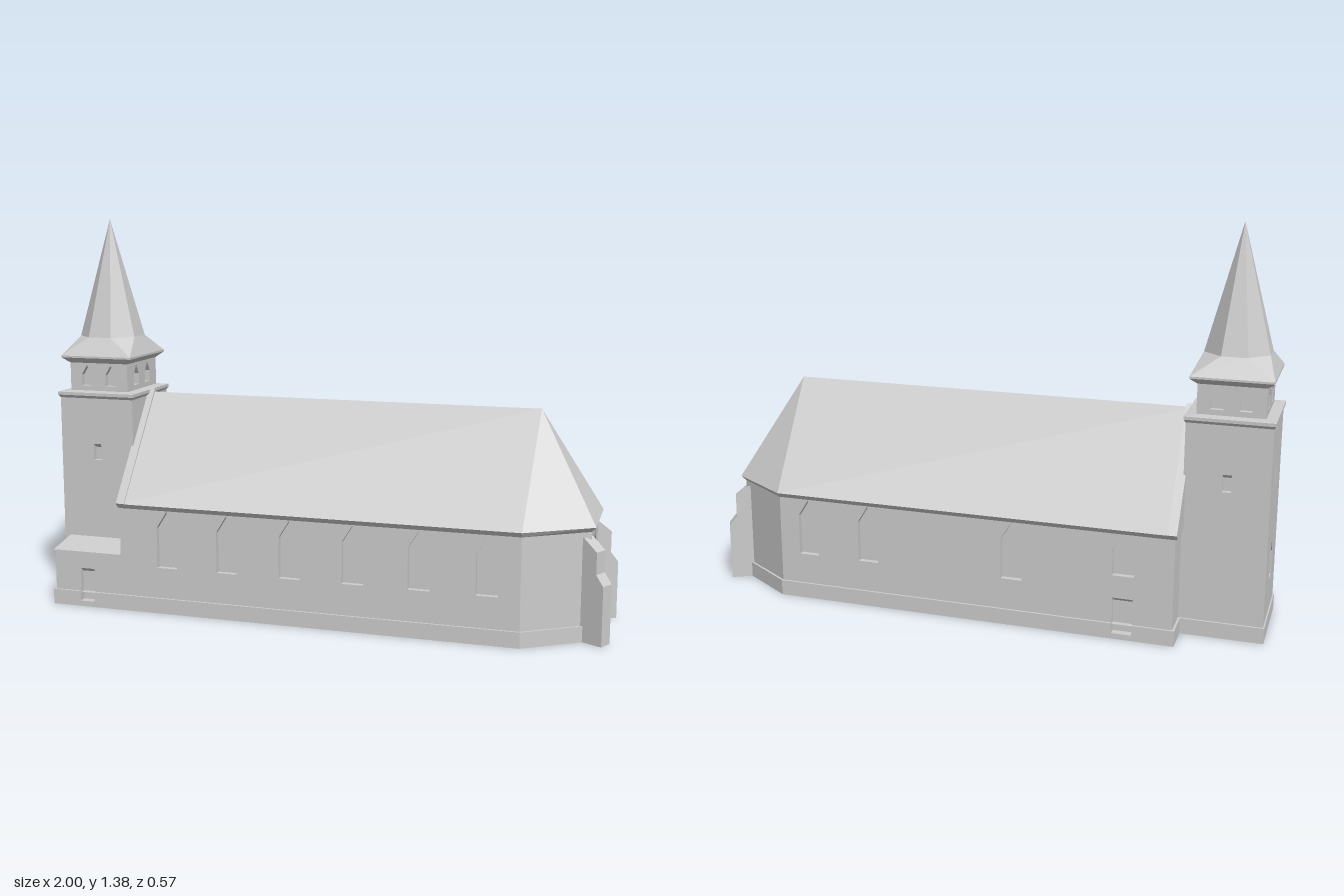
import * as THREE from 'three';

const stone = new THREE.MeshStandardMaterial({ color: 0xcccccc });
stone.name = 'pale stone';
const RECESS = 0.02;

function add(parent, name, geometry) {
  const mesh = new THREE.Mesh(geometry, stone);
  mesh.name = name;
  parent.add(mesh);
  return mesh;
}

const shapeOf = (pts) => new THREE.Shape(pts.map(([x, y]) => new THREE.Vector2(x, y)));
const extrude = (shape, depth) => new THREE.ExtrudeGeometry(shape, { depth, bevelEnabled: false });

// Plan outline of (x, z) points raised from y0 to y1
function planSlab(pts, y0, y1) {
  return extrude(shapeOf(pts.map(([x, z]) => [x, -z])), y1 - y0).rotateX(-Math.PI / 2).translate(0, y0, 0);
}

// Cross-section of (z, y) points swept from x0 to x1
function sweepX(pts, x0, x1) {
  return extrude(shapeOf(pts.map(([z, y]) => [-z, y])), x1 - x0).rotateY(Math.PI / 2).translate(x0, 0, 0);
}

// Flat faces, each a convex loop of corners
function faces(loops) {
  const pos = [];
  for (const p of loops) {
    for (let i = 1; i < p.length - 1; i++) pos.push(...p[0], ...p[i], ...p[i + 1]);
  }
  const g = new THREE.BufferGeometry();
  g.setAttribute('position', new THREE.Float32BufferAttribute(pos, 3));
  g.computeVertexNormals();
  return g;
}

// Side faces between two rings of equal count
const band = (lo, hi) => lo.map((p, i) => {
  const j = (i + 1) % lo.length;
  return [p, lo[j], hi[j], hi[i]];
});

// Wall from a to b (outside on the right hand) with recessed openings.
// Opening: c = distance along wall, w, y0, y1, spring = start of pointed head, lintel
function wall(parent, name, a, b, y0, y1, openings = []) {
  const w = Math.hypot(b[0] - a[0], b[1] - a[1]);
  const g = new THREE.Group();
  g.name = name;
  g.position.set(a[0], 0, a[1]);
  g.rotation.y = Math.atan2(a[1] - b[1], b[0] - a[0]);
  parent.add(g);
  const shape = shapeOf([[0, y0], [w, y0], [w, y1], [0, y1]]);
  for (const o of openings) {
    const l = o.c - o.w / 2, r = o.c + o.w / 2, bottom = Math.max(o.y0, y0 + 0.0005);
    const pts = o.spring
      ? [[l, bottom], [l, o.spring], [o.c, o.y1], [r, o.spring], [r, bottom]]
      : [[l, bottom], [l, o.y1], [r, o.y1], [r, bottom]];
    shape.holes.push(new THREE.Path(pts.map(([x, y]) => new THREE.Vector2(x, y))));
    add(g, 'openingBack', new THREE.PlaneGeometry(o.w + 0.01, o.y1 - o.y0 + 0.01)
      .translate(o.c, (o.y0 + o.y1) / 2, -RECESS + 0.001));
    if (o.lintel) {
      add(g, 'lintel', sweepX([[0, o.y1], [-RECESS, o.y1], [-RECESS, o.y1 - 0.015]], l, r));
    }
  }
  add(g, name + 'Panel', extrude(shape, RECESS).translate(0, 0, -RECESS));
  return g;
}

const pointed = (c, w, y0, y1, spring) => ({ c, w, y0, y1, spring });
const square = (c, w, y0, y1) => ({ c, w, y0, y1, lintel: true });

function buildNave(root) {
  const nave = new THREE.Group();
  nave.name = 'nave';
  root.add(nave);
  const plan = [[-0.71, 0.268], [0.72, 0.268], [0.93, 0.13], [0.93, -0.13], [0.72, -0.268], [-0.71, -0.268]];
  const tall = (c) => pointed(c, 0.075, 0.165, 0.37, 0.31);
  const openings = [
    [-0.53, -0.305, -0.075, 0.15, 0.38, 0.61].map((x) => tall(x + 0.71)),
    [],
    [pointed(0.13, 0.086, 0.155, 0.36, 0.295)],
    [],
    [...[0.61, 0.38, -0.15].map((x) => tall(0.72 - x)),
      pointed(1.26, 0.075, 0.225, 0.37, 0.325), square(1.26, 0.07, 0.02, 0.145)],
  ];
  const names = ['frontWall', 'apseFrontWall', 'apseEndWall', 'apseBackWall', 'backWall'];
  names.forEach((n, i) => wall(nave, n, plan[i], plan[i + 1], 0.05, 0.385, openings[i]));

  // Hipped roof with a sloping soffit
  const eave = [[-0.71, 0.28], [0.722, 0.28], [0.945, 0.138], [0.945, -0.138], [0.722, -0.28], [-0.71, -0.28]]
    .map(([x, z]) => [x, 0.39, z]);
  const soffit = plan.map(([x, z]) => [x, 0.373, z]);
  const r0 = [-0.71, 0.755, 0], r1 = [0.74, 0.755, 0];
  const [e0, e1, e2, e3, e4, e5] = eave;
  add(nave, 'naveRoof', faces([
    [e0, e1, r1, r0], [e1, e2, r1], [e2, e3, r1], [e3, e4, r1], [e4, e5, r0, r1], ...band(soffit, eave),
  ]));

  // West gable and its coping
  add(nave, 'gableWall', sweepX([[-0.268, 0.02], [0.268, 0.02], [0.268, 0.385], [0, 0.75], [-0.268, 0.385]], -0.71, -0.695));
  add(nave, 'gableCoping', sweepX([[-0.268, 0.375], [0.268, 0.375], [0.283, 0.392], [0, 0.766], [-0.283, 0.392]], -0.717, -0.686));

  // Stepped diagonal buttresses
  for (const s of [1, -1]) {
    const profile = shapeOf([[-0.02, 0], [0.078, 0], [0.078, 0.205], [0.05, 0.24], [0.05, 0.315], [0, 0.355], [-0.02, 0.355]]);
    const m = add(nave, 'buttress', extrude(profile, 0.05).translate(0, 0, -0.025));
    m.position.set(0.92, 0, s * 0.128);
    m.rotation.y = -s * 0.49;
  }
}

function buildTower(root) {
  const tower = new THREE.Group();
  tower.name = 'tower';
  tower.position.set(-0.8525, 0, -0.005);
  root.add(tower);
  const ring = (hx, hz, y) => [[-hx, y, hz], [hx, y, hz], [hx, y, -hz], [-hx, y, -hz]];
  const fourWalls = (name, hx, hz, y0, y1, openings) => {
    const c = ring(hx, hz, 0).map((p) => [p[0], p[2]]);
    c.forEach((p, i) => wall(tower, name, p, c[(i + 1) % 4], y0, y1, openings(i, i % 2 ? hz : hx)));
  };

  // Shaft: small windows on three sides, one pointed window to the west
  fourWalls('towerWall', 0.1425, 0.15, 0.05, 0.75, (i, mid) => {
    if (i === 1) return [];
    const list = [square(mid, 0.03, 0.515, 0.575)];
    if (i === 3) list.push(pointed(mid, 0.06, 0.18, 0.31, 0.265));
    return list;
  });

  // Cornice
  const cornice = [ring(0.1425, 0.15, 0.742), ring(0.149, 0.157, 0.752), ring(0.149, 0.157, 0.763), ring(0.11, 0.12, 0.767)];
  add(tower, 'cornice', faces([0, 1, 2].flatMap((i) => band(cornice[i], cornice[i + 1]))));

  // Belfry with paired openings
  fourWalls('belfryWall', 0.113, 0.123, 0.76, 0.875, (i, mid) =>
    [-0.047, 0.047].map((d) => pointed(mid + d, 0.042, 0.785, 0.86, 0.825)));

  // Flared skirt turning from square to octagon, then the spire
  const low = ring(0.113, 0.123, 0.868), mid = ring(0.137, 0.147, 0.888), top = ring(0.137, 0.147, 0.895);
  const a = 0.108, b = 0.044, y = 0.96;
  const oct = [[-b, a], [b, a], [a, b], [a, -b], [b, -a], [-b, -a], [-a, -b], [-a, b]].map(([x, z]) => [x, y, z]);
  const skirt = [...band(low, mid), ...band(mid, top)];
  for (let i = 0; i < 4; i++) {
    const n = (i + 1) % 4;
    skirt.push([top[i], top[n], oct[2 * i + 1], oct[2 * i]], [top[n], oct[(2 * i + 2) % 8], oct[2 * i + 1]]);
  }
  add(tower, 'spireSkirt', faces(skirt));
  add(tower, 'spire', faces(oct.map((p, i) => [p, oct[(i + 1) % 8], [0, 1.385, 0]])));
}

function buildPorch(root) {
  const porch = new THREE.Group();
  porch.name = 'porch';
  root.add(porch);
  wall(porch, 'porchFront', [-0.97, 0.268], [-0.71, 0.268], 0.05, 0.2, [square(0.1275, 0.055, 0.02, 0.14)]);
  wall(porch, 'porchSide', [-0.97, 0.14], [-0.97, 0.268], 0.05, 0.2);
  add(porch, 'porchRoof', sweepX([[0.14, 0.197], [0.274, 0.197], [0.274, 0.203], [0.14, 0.227]], -0.974, -0.71));
}

function buildPlinth(root) {
  // The upper course is notched at the two doorways
  const outline = (notched) => {
    const notch = (x0, x1, z, inner) => (notched ? [[x0, z], [x0, inner], [x1, inner], [x1, z]] : []);
    return [
      [-0.978, 0.276], ...notch(-0.87, -0.815, 0.276, 0.249),
      [0.722, 0.276], [0.938, 0.134], [0.938, -0.134], [0.722, -0.276],
      ...notch(-0.505, -0.575, -0.276, -0.249),
      [-0.718, -0.276], [-0.718, -0.163], [-1, -0.163], [-1, 0.151], [-0.978, 0.151],
    ];
  };
  add(root, 'plinthBase', planSlab(outline(false), 0, 0.02));
  add(root, 'plinth', planSlab(outline(true), 0.02, 0.055));
}

export function createModel() {
  const root = new THREE.Group();
  root.name = 'church';
  buildPlinth(root);
  buildNave(root);
  buildTower(root);
  buildPorch(root);
  return root;
}
